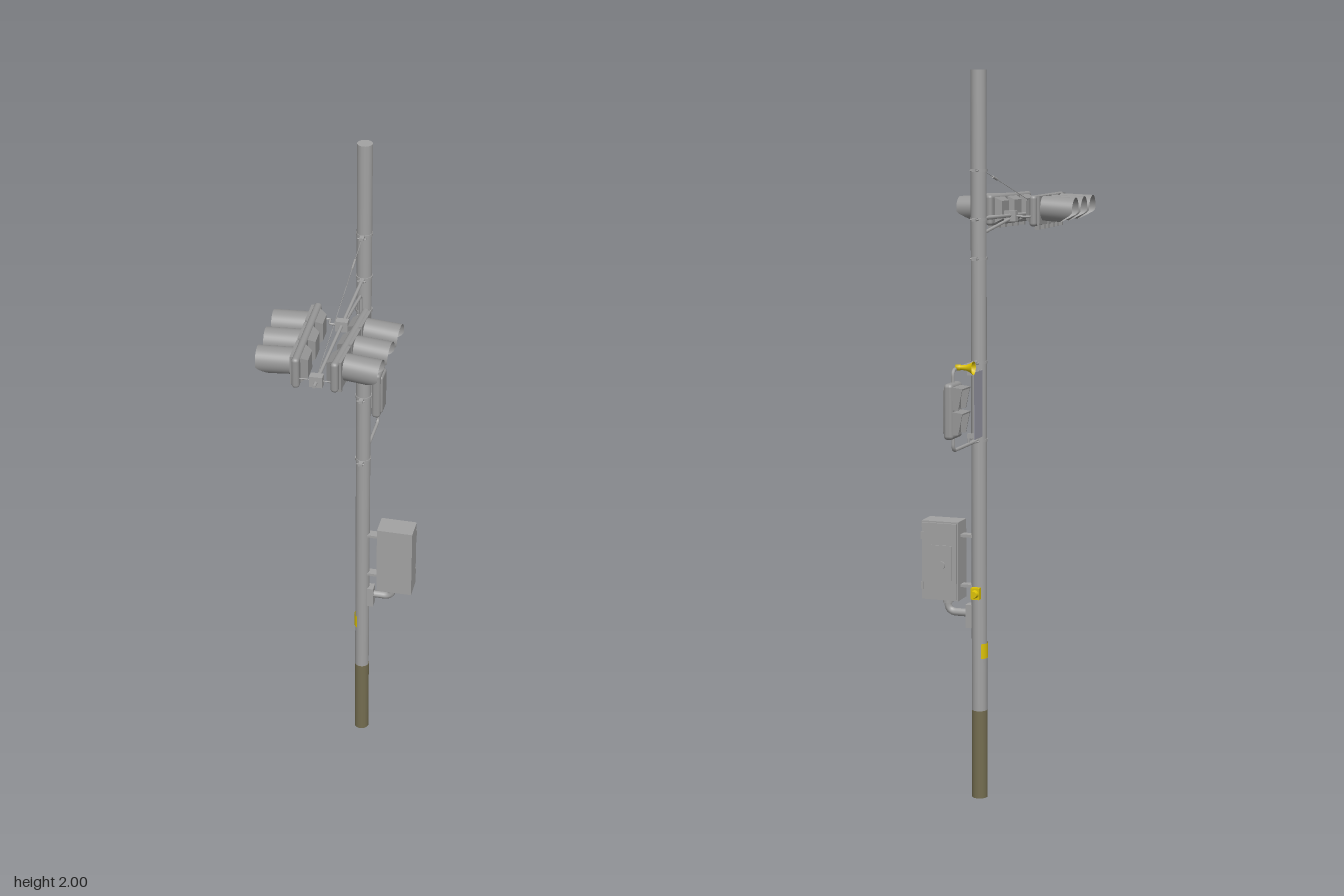
import * as THREE from 'three';
import { RoundedBoxGeometry } from 'three/addons/geometries/RoundedBoxGeometry.js';

const mat = (name, color, side = THREE.FrontSide) => {
  const m = new THREE.MeshStandardMaterial({ color, side });
  m.name = name;
  return m;
};

export function createModel() {
  const steel = mat('steel grey', 0xa2a2a2);
  const housing = mat('signal grey', 0x969696, THREE.DoubleSide);
  const lensGrey = mat('lens grey', 0x888888);
  const signFace = mat('sign face grey', 0x9c9ca8);
  const olive = mat('base olive', 0x746d50);
  const yellow = mat('yellow', 0xdcc206, THREE.DoubleSide);

  const V = (x, y, z) => new THREE.Vector3(x, y, z);
  const add = (parent, name, geo, material, x = 0, y = 0, z = 0) => {
    const mesh = new THREE.Mesh(geo, material);
    mesh.name = name;
    mesh.position.set(x, y, z);
    parent.add(mesh);
    return mesh;
  };
  const box = (p, name, m, w, h, d, x, y, z) => add(p, name, new THREE.BoxGeometry(w, h, d), m, x, y, z);
  const rod = (p, name, m, a, b, r, sides = 8) => {
    const mesh = add(p, name, new THREE.CylinderGeometry(r, r, a.distanceTo(b), sides), m);
    mesh.position.copy(a).add(b).multiplyScalar(0.5);
    mesh.quaternion.setFromUnitVectors(V(0, 1, 0), b.clone().sub(a).normalize());
    return mesh;
  };
  // Bent pipe with small rounded corners
  const pipe = (p, name, m, pts, r, bend = 0.012) => {
    const path = new THREE.CurvePath();
    let from = pts[0];
    for (let i = 1; i < pts.length - 1; i++) {
      const c = pts[i];
      const a = c.clone().add(pts[i - 1].clone().sub(c).setLength(bend));
      const b = c.clone().add(pts[i + 1].clone().sub(c).setLength(bend));
      path.add(new THREE.LineCurve3(from, a));
      path.add(new THREE.QuadraticBezierCurve3(a, c, b));
      from = b;
    }
    path.add(new THREE.LineCurve3(from, pts[pts.length - 1]));
    return add(p, name, new THREE.TubeGeometry(path, 64, r, 8), m);
  };

  const root = new THREE.Group();
  root.name = 'trafficSignalPole';
  // Local frame: pole on the origin, +x along the long signal arm
  const g = new THREE.Group();
  g.name = 'poleAssembly';
  g.position.set(0.16, 0, -0.15);
  g.rotation.y = -2.38;
  root.add(g);

  // Pole, painted base and yellow sticker
  const R = 0.0215;
  add(g, 'pole', new THREE.CylinderGeometry(R, R, 1.75, 14), steel, 0, 1.125, 0);
  add(g, 'poleBase', new THREE.CylinderGeometry(R + 0.0005, R + 0.0005, 0.25, 14), olive, 0, 0.125, 0);
  add(g, 'poleSticker', new THREE.CylinderGeometry(R + 0.002, R + 0.002, 0.042, 12, 1, true, -1.05, 2.1), yellow, 0, 0.42, 0);

  // Pole clamps with bolted ears
  for (const y of [1.735, 1.605, 1.5, 1.22, 1.007]) {
    add(g, 'clampBand', new THREE.CylinderGeometry(R + 0.002, R + 0.002, 0.007, 14), steel, 0, y, 0);
    for (const s of [-1, 1]) {
      box(g, 'clampEar', steel, 0.018, 0.008, 0.012, s * 0.031, y, 0);
      rod(g, 'clampBolt', steel, V(s * 0.034, y, -0.012), V(s * 0.034, y, 0.012), 0.0025, 6);
    }
  }

  // Signal arm, brace and stay wire
  rod(g, 'signalArm', steel, V(0.02, 1.605, 0), V(0.585, 1.598, 0), 0.005);
  pipe(g, 'armBrace', steel, [V(0.02, 1.5, 0), V(0.042, 1.5, 0), V(0.042, 1.566, 0), V(0.25, 1.592, 0)], 0.0045, 0.01);
  const w0 = V(0.03, 1.735, 0), w1 = V(0.56, 1.605, 0);
  rod(g, 'stayWire', steel, w0, w1, 0.001, 5);
  rod(g, 'turnbuckle', steel, w0.clone().lerp(w1, 0.16), w0.clone().lerp(w1, 0.23), 0.0035, 6);

  // Hanger blocks and brackets
  for (const [x, inner] of [[0.269, true], [0.555, false]]) {
    box(g, 'hangerBlock', steel, 0.022, 0.03, 0.034, x, 1.6, 0);
    for (const s of [-1, 1]) {
      if (inner) pipe(g, 'hangerBracket', steel,
        [V(x, 1.6, 0), V(x, 1.6, s * 0.034), V(x - 0.026, 1.6, s * 0.038), V(x - 0.018, 1.6, s * 0.06), V(x + 0.006, 1.6, s * 0.06)], 0.003, 0.003);
      else rod(g, 'hangerBracket', steel, V(x, 1.6, 0), V(x, 1.6, s * 0.055), 0.0015);
    }
  }

  // Visor: full tube with only its underside cut short
  const visorGeo = new THREE.CylinderGeometry(0.0355, 0.0345, 1, 32, 1, true);
  visorGeo.rotateX(Math.PI / 2);
  const vp = visorGeo.attributes.position;
  for (let i = 0; i < vp.count; i++) {
    const t = THREE.MathUtils.clamp(vp.getY(i) / 0.0355 * 0.9 + 1.25, 0, 1);
    vp.setZ(i, vp.getZ(i) > 0 ? 0.034 + 0.062 * t : 0);
  }
  visorGeo.computeVertexNormals();

  // Three-lamp horizontal signal head facing +z
  const signalHead = (name, z, turn) => {
    const head = new THREE.Group();
    head.name = name;
    head.position.set(0.412, 1.615, z);
    head.rotation.y = turn;
    g.add(head);
    add(head, 'housing', new RoundedBoxGeometry(0.304, 0.086, 0.02, 3, 0.009), housing);
    for (const i of [-1, 0, 1]) {
      const x = i * 0.094;
      const back = new THREE.CylinderGeometry(0.036, 0.052, 0.02, 4);
      back.rotateY(Math.PI / 4);
      back.rotateX(-Math.PI / 2);
      add(head, 'lampBack', back.toNonIndexed(), housing, x, 0, -0.018).geometry.computeVertexNormals();
      box(head, 'lampDoor', housing, 0.086, 0.08, 0.008, x, 0.001, 0.012);
      const visor = add(head, 'visor', visorGeo, housing, x, 0.006, 0.012);
      visor.rotation.x = 0.05;
      const lens = add(head, 'lens', new THREE.SphereGeometry(0.033, 20, 6, 0, Math.PI * 2, 0, Math.PI / 2), lensGrey, x, 0.006, 0.015);
      lens.rotation.x = Math.PI / 2;
      lens.scale.y = 0.3;
      for (const s of [-1, 1]) box(head, 'doorLatch', housing, 0.012, 0.014, 0.014, x + s * 0.025, -0.046, 0.006);
    }
  };
  signalHead('rearSignalHead', 0.06, 0.035);
  signalHead('frontSignalHead', -0.055, Math.PI - 0.06);

  // Pedestrian signal on its bracket
  const ped = new THREE.Group();
  ped.name = 'pedestrianSignal';
  g.add(ped);
  for (const [y, end] of [[1.222, 1.185], [1.007, 1.045]])
    pipe(ped, 'pedestrianBracket', steel, [V(-0.02, y, 0), V(-0.203, y, 0), V(-0.203, end, 0)], 0.005, 0.018);
  add(ped, 'pedestrianHousing', new RoundedBoxGeometry(0.08, 0.148, 0.026, 3, 0.01), housing, -0.204, 1.115, 0);
  add(ped, 'pedestrianBack', new RoundedBoxGeometry(0.06, 0.125, 0.018, 2, 0.008), housing, -0.204, 1.115, -0.01);
  for (const y of [1.148, 1.083]) {
    box(ped, 'pedestrianLens', lensGrey, 0.054, 0.054, 0.006, -0.21, y, 0.012);
    box(ped, 'hoodTop', housing, 0.062, 0.004, 0.028, -0.21, y + 0.029, 0.026).rotation.x = 0.12;
    for (const s of [-1, 1]) {
      const cheek = new THREE.Shape([[0, -0.028], [0, 0.029], [0.027, 0.025], [0.016, -0.028]].map(q => new THREE.Vector2(...q)));
      const side = add(ped, 'hoodSide', new THREE.ExtrudeGeometry(cheek, { depth: 0.003, bevelEnabled: false }), housing, -0.2085 + s * 0.029, y, 0.012);
      side.rotation.y = -Math.PI / 2;
    }
  }

  // Thin sign panel between the brackets
  box(g, 'signPanel', steel, 0.066, 0.182, 0.0015, -0.084, 1.115, 0.0265);
  box(g, 'signFace', signFace, 0.064, 0.18, 0.0008, -0.084, 1.115, 0.0276);
  for (const y of [1.2, 1.03]) {
    box(g, 'signBracket', steel, 0.01, 0.012, 0.028, -0.084, y, 0.012);
    rod(g, 'signHanger', steel, V(-0.084, y, 0), V(-0.084, y > 1.1 ? 1.222 : 1.007, 0), 0.003, 6);
  }

  // Horn speaker
  const horn = add(g, 'hornSpeaker', new THREE.LatheGeometry(
    [[0, -0.012], [0.008, -0.012], [0.008, 0], [0.006, 0.002], [0.008, 0.018], [0.012, 0.028], [0.018, 0.037]].map(q => new THREE.Vector2(...q)), 18),
  yellow, -0.179, 1.226, 0.012);
  horn.rotation.x = Math.PI / 2;

  // Control cabinet
  const cab = new THREE.Group();
  cab.name = 'controlCabinet';
  g.add(cab);
  box(cab, 'cabinetBody', steel, 0.066, 0.22, 0.106, 0, 0.67, -0.103);
  box(cab, 'cabinetDoor', steel, 0.006, 0.212, 0.1, -0.037, 0.67, -0.103);
  box(cab, 'latchPanel', steel, 0.004, 0.1, 0.06, -0.041, 0.665, -0.095);
  const knob = add(cab, 'latchKnob', new THREE.CylinderGeometry(0.011, 0.011, 0.004, 12), steel, -0.045, 0.66, -0.095);
  knob.rotation.z = Math.PI / 2;
  for (const y of [0.6, 0.74]) {
    box(cab, 'cabinetHinge', steel, 0.008, 0.02, 0.008, -0.038, y, -0.152);
    box(cab, 'cabinetMount', steel, 0.026, 0.008, 0.036, 0, y, -0.034);
  }

  // Conduit from cabinet to pole
  pipe(g, 'conduit', steel, [V(0, 0.565, -0.092), V(0, 0.522, -0.092), V(0, 0.522, -0.015)], 0.011, 0.025);
  rod(g, 'conduitCollar', steel, V(0, 0.548, -0.092), V(0, 0.562, -0.092), 0.015, 10);
  box(g, 'conduitEntry', steel, 0.03, 0.065, 0.018, 0, 0.515, -0.027);

  // Push button
  box(g, 'pushButtonBox', yellow, 0.018, 0.032, 0.024, -0.029, 0.585, 0);
  const button = add(g, 'pushButton', new THREE.CylinderGeometry(0.009, 0.012, 0.012, 12), yellow, -0.043, 0.585, 0);
  button.rotation.z = Math.PI / 2;

  return root;
}
